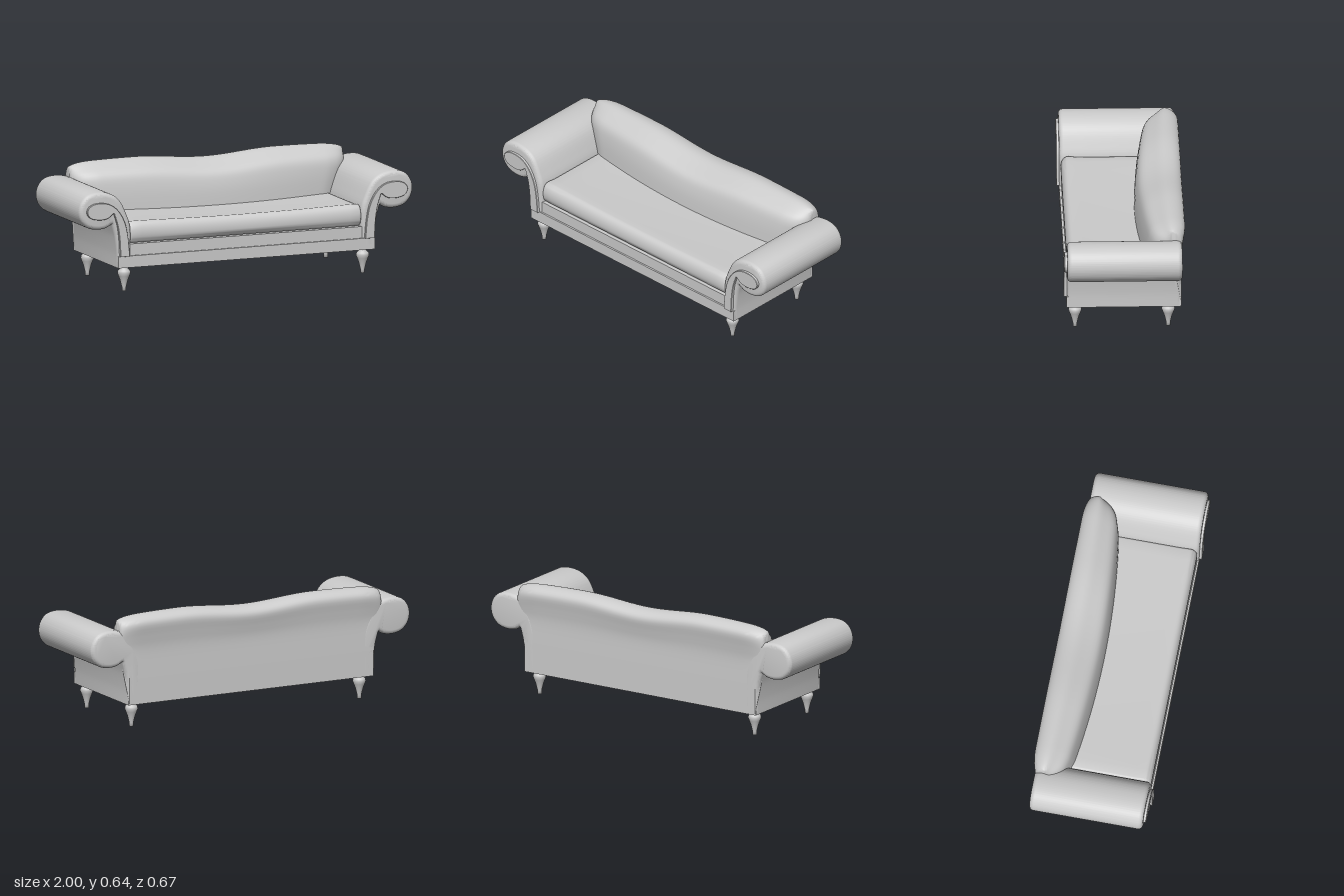
import * as THREE from 'three';
import { toCreasedNormals } from 'three/addons/utils/BufferGeometryUtils.js';

const material = new THREE.MeshStandardMaterial({ color: 0xcccccc, side: THREE.DoubleSide });
const { clamp, lerp } = THREE.MathUtils;

function part(name, geometry, parent) {
  const mesh = new THREE.Mesh(geometry, material);
  mesh.name = name;
  parent.add(mesh);
  return mesh;
}

function box(name, parent, x, y0, y1, z0, z1) {
  const mesh = part(name, new THREE.BoxGeometry(2 * x, y1 - y0, z1 - z0), parent);
  mesh.position.set(0, (y0 + y1) / 2, (z0 + z1) / 2);
}

// Smooth outline from straight starts and spline runs, mirrored by side
function outline(runs, side) {
  const shape = new THREE.Shape();
  runs.forEach((run, i) => {
    const pts = run.map(([x, y]) => new THREE.Vector2(x * side, y));
    if (i === 0) shape.moveTo(pts[0].x, pts[0].y);
    else shape.lineTo(pts[0].x, pts[0].y);
    shape.splineThru(pts.slice(1));
  });
  return shape;
}

// Extrusion with the bevel kept inside the outline, between z0 and z1
function padded(shape, z0, z1, bevel, steps = 4) {
  const geo = new THREE.ExtrudeGeometry(shape, {
    depth: z1 - z0 - 2 * bevel, curveSegments: 36, bevelEnabled: bevel > 0,
    bevelThickness: bevel, bevelSize: bevel, bevelOffset: -bevel, bevelSegments: steps,
  });
  geo.translate(0, 0, z0 + bevel);
  return toCreasedNormals(geo, 0.7);
}

// Rolled arm: flared inner face, scroll, then the outer panel
const armRuns = [
  [[0.69, 0.14], [0.69, 0.25], [0.692, 0.36], [0.715, 0.435], [0.755, 0.512], [0.81, 0.552],
    [0.885, 0.565], [0.95, 0.552], [0.988, 0.512], [1, 0.46], [0.985, 0.408], [0.945, 0.37],
    [0.89, 0.357], [0.84, 0.362], [0.805, 0.38]],
  [[0.803, 0.378], [0.785, 0.31], [0.773, 0.22], [0.77, 0.14]],
];

// Raised scroll trim on the arm front
const trimRuns = [
  [[0.706, 0.2], [0.715, 0.3], [0.735, 0.39], [0.775, 0.46], [0.83, 0.5], [0.9, 0.508],
    [0.945, 0.492], [0.96, 0.46], [0.94, 0.428], [0.89, 0.415], [0.84, 0.42], [0.805, 0.445]],
  [[0.8, 0.445], [0.778, 0.375], [0.766, 0.29], [0.762, 0.2]],
];

// Backrest: one side section swept across, bowed forward and dipped in the middle
function backrestGeometry() {
  const profile = new THREE.SplineCurve([
    [-0.315, 0.136], [-0.315, 0.3], [-0.315, 0.44], [-0.325, 0.52], [-0.335, 0.595],
    [-0.305, 0.63], [-0.255, 0.64], [-0.205, 0.615], [-0.155, 0.575], [-0.135, 0.5],
    [-0.125, 0.38], [-0.12, 0.25],
  ].map(([z, y]) => new THREE.Vector2(z, y))).getPoints(44);
  const cols = 64, n = profile.length;
  const pos = [], index = [];
  for (let i = 0; i <= cols; i++) {
    const u = Math.sin((i / cols - 0.5) * Math.PI);
    const a = Math.abs(u) * 0.82;
    const e = clamp((a - 0.68) / 0.14, 0, 1);
    const round = 1 - Math.sqrt(1 - e * e);
    const crest = a < 0.42
      ? -0.0125 * (1 + Math.cos(Math.PI * a / 0.42))
      : -0.01 * ((a - 0.42) / 0.4) ** 2;
    const bow = 0.05 * Math.max(0, 1 - (a / 0.72) ** 2);
    for (const p of profile) {
      const top = clamp((p.y - 0.4) / 0.2, 0, 1);
      const front = clamp((p.x + 0.3) / 0.17, 0, 1);
      const half = lerp(0.765, 0.82, clamp((p.y - 0.36) / 0.18, 0, 1));
      let z = p.x + bow * front;
      z = lerp(z, -0.26, round * (p.x > -0.26 ? 0.9 : 0.5 * top));
      pos.push(u * half, p.y + top * (crest - 0.025 * round), z);
    }
  }
  for (let i = 0; i < cols; i++) {
    for (let j = 0; j < n; j++) {
      const k = (j + 1) % n;
      const a = i * n + j, b = a + n, c = i * n + k, d = c + n;
      index.push(a, c, b, b, c, d);
    }
  }
  // End caps
  for (const [start, sign] of [[0, -1], [cols * n, 1]]) {
    const centre = pos.length / 3;
    pos.push(sign * 0.8, 0.4, -0.27);
    for (let j = 0; j < n; j++) {
      const a = start + j, b = start + (j + 1) % n;
      index.push(centre, ...(sign > 0 ? [a, b] : [b, a]));
    }
  }
  const geo = new THREE.BufferGeometry();
  geo.setAttribute('position', new THREE.Float32BufferAttribute(pos, 3));
  geo.setIndex(index);
  return toCreasedNormals(geo, 0.8);
}

// Seat cushion: rounded front edge, swept across, sagging slightly in the middle
function cushionGeometry() {
  const s = new THREE.Shape();
  s.moveTo(0.2, 0.266);
  s.lineTo(-0.28, 0.266);
  s.bezierCurveTo(-0.325, 0.266, -0.325, 0.386, -0.27, 0.386);
  s.lineTo(-0.22, 0.38);
  s.lineTo(0.2, 0.38);
  const geo = new THREE.ExtrudeGeometry(s, {
    depth: 1.36, steps: 24, curveSegments: 14, bevelThickness: 0.012, bevelSize: 0.012,
    bevelOffset: -0.012, bevelSegments: 3,
  });
  geo.translate(0, 0, -0.68);
  geo.rotateY(Math.PI / 2);
  // The section's -x edge now faces front
  const p = geo.attributes.position;
  for (let i = 0; i < p.count; i++) {
    if (p.getY(i) > 0.3) p.setY(i, p.getY(i) - 0.008 * Math.max(0, 1 - (p.getX(i) / 0.6) ** 2));
  }
  return toCreasedNormals(geo, 0.7);
}

export function createModel() {
  const sofa = new THREE.Group();
  sofa.name = 'sofa';

  box('base', sofa, 0.769, 0.135, 0.2, -0.31, 0.32);
  box('frontRail', sofa, 0.72, 0.2, 0.265, -0.31, 0.31);
  part('backrest', backrestGeometry(), sofa);
  const cushion = part('seatCushion', cushionGeometry(), sofa);
  cushion.position.z = 0;

  // Turned legs
  const legGeo = new THREE.LatheGeometry([
    [0, 0], [0.012, 0], [0.012, 0.02], [0.022, 0.06], [0.031, 0.083], [0.037, 0.1],
    [0.034, 0.113], [0.022, 0.124], [0.022, 0.137],
  ].map(([r, y]) => new THREE.Vector2(r, y)), 20);

  for (const [side, label] of [[1, 'left'], [-1, 'right']]) {
    part(label + 'Arm', padded(outline(armRuns, side), -0.315, 0.32, 0.024), sofa);
    part(label + 'ArmTrim', padded(outline(trimRuns, side), 0.315, 0.335, 0.002, 1), sofa);
    for (const [z, end] of [[0.272, 'Front'], [-0.242, 'Back']]) {
      part(label + end + 'Leg', legGeo, sofa).position.set(side * 0.715, 0, z);
    }
  }
  return sofa;
}
